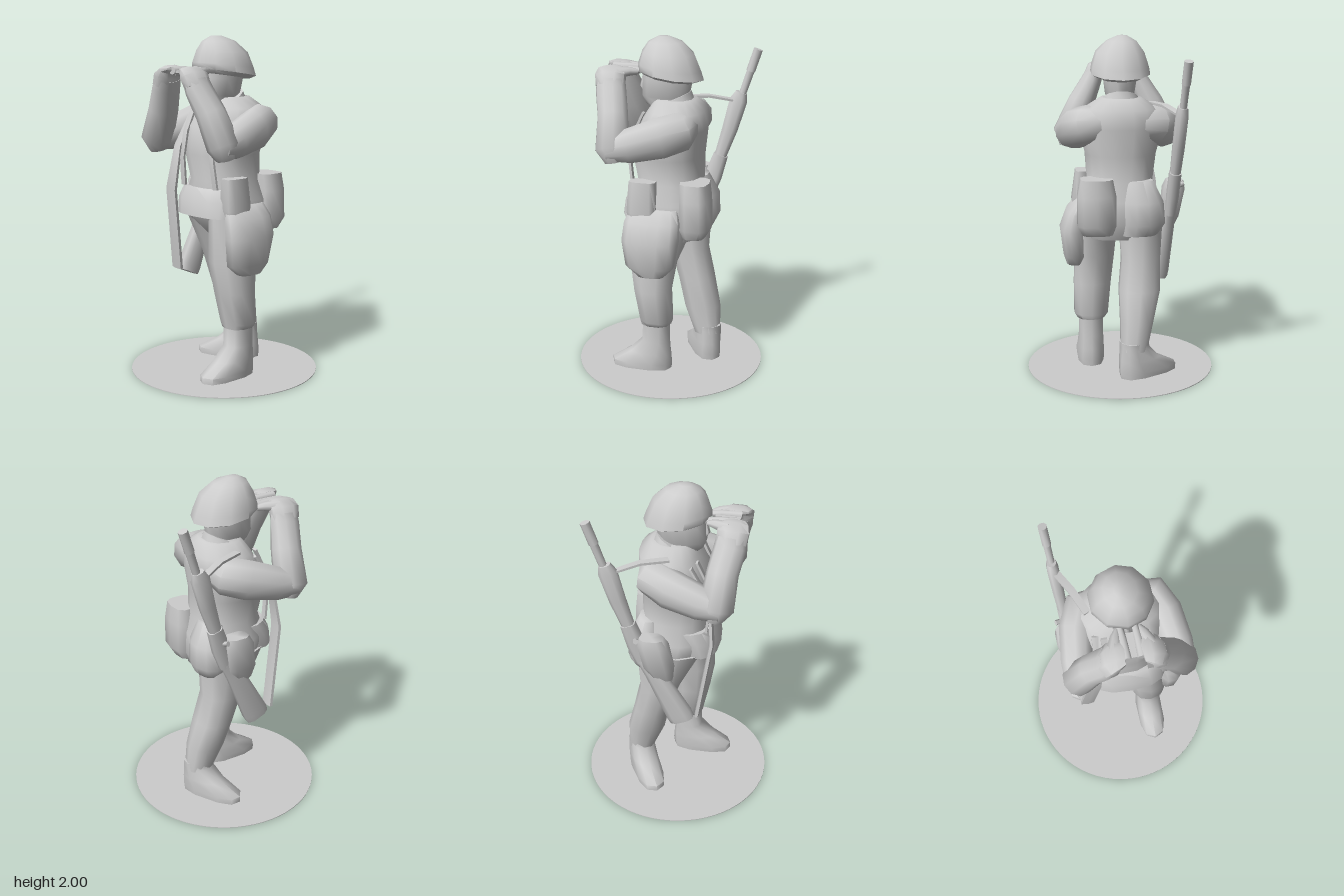
import * as THREE from 'three';
import { toCreasedNormals } from 'three/addons/utils/BufferGeometryUtils.js';

const grey = new THREE.MeshStandardMaterial({ color: 0xcccccc });
grey.name = 'plain grey';

// Skin a list of rings (arrays of Vector3) and close both ends
function skin(name, rings, crease = 1.1) {
  const n = rings[0].length, pos = [], idx = [];
  rings.forEach(r => r.forEach(p => pos.push(p.x, p.y, p.z)));
  for (let i = 0; i < rings.length - 1; i++) {
    for (let j = 0; j < n; j++) {
      const a = i * n + j, b = i * n + (j + 1) % n, c = a + n, d = b + n;
      idx.push(a, b, c, b, d, c);
    }
  }
  [0, rings.length - 1].forEach((ri, end) => {
    const mid = new THREE.Vector3();
    rings[ri].forEach(p => mid.addScaledVector(p, 1 / n));
    const m = pos.length / 3;
    pos.push(mid.x, mid.y, mid.z);
    for (let j = 0; j < n; j++) {
      const a = ri * n + j, b = ri * n + (j + 1) % n;
      idx.push(m, end ? a : b, end ? b : a);
    }
  });
  const g = new THREE.BufferGeometry();
  g.setAttribute('position', new THREE.Float32BufferAttribute(pos, 3));
  g.setIndex(idx);
  const mesh = new THREE.Mesh(toCreasedNormals(g, crease), grey);
  mesh.name = name;
  return mesh;
}

const soft = (v, e) => Math.sign(v) * Math.abs(v) ** e;

// Level sections, bottom to top: [y, xMin, xMax, zMin, zMax, tilt]; e < 1 is boxier
function stack(name, sections, sides = 12, e = 1) {
  return skin(name, sections.map(([y, x0, x1, z0, z1, tilt = 0]) =>
    Array.from({ length: sides }, (_, j) => {
      const t = (j + 0.5) / sides * Math.PI * 2;
      const dz = -soft(Math.sin(t), e) * (z1 - z0) / 2;
      return new THREE.Vector3((x0 + x1) / 2 + soft(Math.cos(t), e) * (x1 - x0) / 2,
        y + tilt * dz, (z0 + z1) / 2 + dz);
    })));
}

// Sections across a path: [x, y, z, half width, half depth]
function limb(name, pts, ref, sides = 10, e = 1) {
  const c = pts.map(p => new THREE.Vector3(p[0], p[1], p[2]));
  return skin(name, pts.map((p, i) => {
    const t = c[Math.min(i + 1, c.length - 1)].clone().sub(c[Math.max(i - 1, 0)]).normalize();
    const u = new THREE.Vector3().crossVectors(ref, t).normalize();
    const v = new THREE.Vector3().crossVectors(t, u);
    return Array.from({ length: sides }, (_, j) => {
      const a = (j + 0.5) / sides * Math.PI * 2;
      return c[i].clone().addScaledVector(u, soft(Math.cos(a), e) * p[3])
        .addScaledVector(v, soft(Math.sin(a), e) * p[4]);
    });
  }));
}

const X = new THREE.Vector3(1, 0, 0), Y = new THREE.Vector3(0, 1, 0), Z = new THREE.Vector3(0, 0, 1);

function createBoot(name, x, z, turn, shaft, toe) {
  const boot = stack(name, [
    [0, -0.08, 0.08, -0.09, toe], [0.04, -0.085, 0.085, -0.095, toe],
    [0.11, -0.08, 0.08, -0.09, 0.17], [0.19, -0.075, 0.075, -0.08, 0.09],
    [shaft, -0.075, 0.075, -0.08, 0.085]], 10, 0.75);
  boot.position.set(x, 0, z);
  boot.rotation.y = turn;
  return boot;
}

// Arm raised so that the hand is at the eyes
function createArm(s, side) {
  const arm = new THREE.Group();
  arm.name = side + 'Arm';
  const flip = pts => pts.map(p => [p[0] * s, ...p.slice(1)]);
  arm.add(limb(side + 'UpperArm', flip([
    [0.1, 1.51, -0.13, 0.07, 0.09], [0.19, 1.5, -0.1, 0.115, 0.115],
    [0.25, 1.47, 0, 0.1, 0.12], [0.285, 1.42, 0.18, 0.09, 0.1],
    [0.31, 1.395, 0.3, 0.06, 0.065]]), Y));
  arm.add(limb(side + 'Forearm', flip([
    [0.295, 1.33, 0.25, 0.05, 0.06], [0.295, 1.4, 0.265, 0.09, 0.1],
    [0.21, 1.58, 0.285, 0.082, 0.09], [0.145, 1.71, 0.315, 0.062, 0.09],
    [0.125, 1.76, 0.32, 0.055, 0.085]]), Z));
  arm.add(limb(side + 'Hand', flip([
    [0.14, 1.73, 0.32, 0.055, 0.088], [0.115, 1.785, 0.325, 0.055, 0.094],
    [0.085, 1.815, 0.325, 0.028, 0.085], [0.045, 1.82, 0.33, 0.012, 0.06]]), Z, 8));
  // Fingers curled back along the eyepiece
  arm.add(limb(side + 'Fingers', flip([
    [0.1, 1.8, 0.3, 0.045, 0.035], [0.075, 1.805, 0.22, 0.03, 0.025],
    [0.06, 1.8, 0.18, 0.015, 0.015]]), Y, 8));
  return arm;
}

function createRifle() {
  const rifle = new THREE.Group();
  rifle.name = 'rifle';
  const at = (y, w, d, dz = 0) => [-0.33 + (1.88 - y) * 0.055, y, -0.44 + (1.88 - y) * 0.32 + dz, w, d];
  rifle.add(limb('stock', [at(0.56, 0.04, 0.075, 0.09), at(0.6, 0.042, 0.08, 0.085),
    at(0.9, 0.035, 0.055, 0.035), at(1.02, 0.03, 0.04)], Z, 8, 0.7));
  rifle.add(limb('receiver', [at(0.98, 0.03, 0.045), at(1.1, 0.035, 0.055), at(1.24, 0.035, 0.045)], Z, 8, 0.7));
  rifle.add(limb('handguard', [at(1.2, 0.03, 0.035), at(1.4, 0.035, 0.048),
    at(1.58, 0.035, 0.055, 0.01), at(1.63, 0.028, 0.035, 0.01)], Z, 8, 0.8));
  rifle.add(limb('barrel', [at(1.58, 0.02, 0.022), at(1.76, 0.022, 0.024)], Z, 8));
  rifle.add(limb('muzzle', [at(1.76, 0.026, 0.028), at(1.89, 0.026, 0.028)], Z, 8));
  rifle.add(limb('boltHandle', [[-0.29, 1.14, -0.2, 0.012, 0.012], [-0.35, 1.16, -0.18, 0.016, 0.016]], Y, 6));
  // Carrying strap over the shoulder
  rifle.add(limb('slingBack', [[-0.31, 1.58, -0.32, 0.008, 0.03], [-0.24, 1.615, -0.17, 0.01, 0.03],
    [-0.18, 1.615, -0.02, 0.01, 0.03]], X, 4));
  rifle.add(limb('slingFront', [[-0.16, 1.56, 0.1, 0.025, 0.01], [-0.165, 1.36, 0.215, 0.03, 0.012],
    [-0.205, 1.1, 0.235, 0.045, 0.015], [-0.245, 0.6, 0.16, 0.045, 0.015]], Z, 6, 0.8));
  return rifle;
}

export function createModel() {
  const model = new THREE.Group();
  model.name = 'standingFigure';

  // Display base
  const base = new THREE.Mesh(new THREE.CylinderGeometry(0.563, 0.563, 0.004, 64), grey);
  base.name = 'base';
  base.position.y = 0.002;
  model.add(base);

  // Legs and boots: left foot forward, right foot turned outward
  model.add(createBoot('leftBoot', 0.175, 0.04, 0, 0.34, 0.28));
  model.add(createBoot('rightBoot', -0.06, -0.225, -1.05, 0.22, 0.3));
  model.add(stack('leftLeg', [
    [0.3, 0.09, 0.26, -0.05, 0.135], [0.33, 0.07, 0.28, -0.06, 0.14], [0.52, 0.05, 0.28, -0.05, 0.18],
    [0.7, 0.03, 0.27, -0.08, 0.21], [0.98, 0.01, 0.25, -0.2, 0.2]], 10, 0.85));
  model.add(stack('rightLeg', [
    [0.17, -0.14, 0.02, -0.3, -0.14], [0.34, -0.18, 0.02, -0.295, -0.07], [0.52, -0.225, 0.025, -0.25, -0.03],
    [0.7, -0.23, 0.005, -0.21, 0.03], [0.98, -0.25, 0.02, -0.23, 0.17]], 10, 0.85));

  // Jacket with a flared front hem and full seat
  model.add(stack('jacket', [
    [0.83, -0.18, 0.2, -0.19, 0.08], [0.93, -0.24, 0.245, -0.24, 0.17], [1.06, -0.235, 0.245, -0.235, 0.22],
    [1.17, -0.19, 0.2, -0.2, 0.19], [1.32, -0.21, 0.21, -0.2, 0.22], [1.48, -0.25, 0.25, -0.215, 0.19],
    [1.59, -0.22, 0.22, -0.215, 0.12], [1.65, -0.12, 0.12, -0.15, 0.08]], 16, 0.85));
  model.add(stack('jacketHem', [
    [0.97, -0.2, 0.24, 0, 0.26], [1.06, -0.21, 0.235, -0.05, 0.25], [1.13, -0.2, 0.21, -0.1, 0.215]], 14, 0.75));
  model.add(stack('seat', [
    [0.86, -0.2, 0.02, -0.24, -0.1], [0.93, -0.25, 0.03, -0.275, -0.05], [1.06, -0.24, 0.03, -0.27, -0.05],
    [1.18, -0.18, 0, -0.21, -0.08]], 12));
  model.add(stack('collar', [
    [1.56, -0.14, 0.14, -0.15, 0.13, -0.3], [1.64, -0.105, 0.105, -0.12, 0.12, -0.45]], 12));
  for (const s of [1, -1]) {
    model.add(limb(s > 0 ? 'leftHarness' : 'rightHarness', [
      [s * 0.12, 1.58, 0.13, 0.025, 0.01], [s * 0.12, 1.45, 0.19, 0.025, 0.01],
      [s * 0.13, 1.3, 0.21, 0.025, 0.01], [s * 0.14, 1.13, 0.19, 0.025, 0.01]], Z, 4));
  }

  // Belt pouches, side bag and holster
  model.add(stack('leftFrontPouch', [
    [0.98, 0.17, 0.28, 0.03, 0.19], [1.02, 0.16, 0.285, 0.02, 0.2], [1.2, 0.17, 0.26, 0.03, 0.19]], 8, 0.5));
  model.add(stack('leftRearPouch', [
    [0.87, 0.06, 0.24, -0.25, -0.12], [0.93, 0.04, 0.27, -0.285, -0.1], [1.1, 0.04, 0.27, -0.28, -0.1],
    [1.2, 0.06, 0.25, -0.27, -0.1]], 10, 0.65));
  model.add(stack('sideBag', [
    [0.64, 0.22, 0.32, -0.03, 0.13], [0.7, 0.2, 0.34, -0.09, 0.2], [0.86, 0.2, 0.36, -0.12, 0.22],
    [0.97, 0.2, 0.32, -0.12, 0.21], [1.04, 0.19, 0.26, -0.1, 0.18]], 12, 0.8));
  model.add(stack('holster', [
    [0.86, -0.3, -0.23, -0.11, 0.02], [0.95, -0.34, -0.23, -0.15, 0.03],
    [1.12, -0.37, -0.24, -0.18, 0], [1.17, -0.36, -0.26, -0.17, -0.03]], 8, 0.7));

  // Head and helmet
  const head = new THREE.Group();
  head.name = 'head';
  head.add(stack('face', [
    [1.55, -0.075, 0.075, -0.1, 0.07], [1.615, -0.06, 0.06, -0.1, 0.15], [1.66, -0.085, 0.085, -0.11, 0.17],
    [1.76, -0.1, 0.1, -0.13, 0.165], [1.85, -0.1, 0.1, -0.13, 0.15]], 12));
  head.add(limb('nose', [[0, 1.78, 0.155, 0.012, 0.012], [0, 1.71, 0.17, 0.018, 0.015],
    [0, 1.69, 0.16, 0.015, 0.01]], Z, 6));
  head.add(stack('helmet', [
    [1.77, -0.14, 0.14, -0.155, 0.165, 0.15], [1.79, -0.178, 0.178, -0.195, 0.195, 0.15],
    [1.83, -0.172, 0.172, -0.18, 0.192, 0.12], [1.91, -0.145, 0.145, -0.14, 0.17, 0.05],
    [1.97, -0.1, 0.08, -0.07, 0.135], [2.0, -0.045, 0.01, 0.01, 0.08]], 10));
  model.add(head);

  // Binoculars
  const binoculars = new THREE.Group();
  binoculars.name = 'binoculars';
  for (const s of [1, -1]) {
    binoculars.add(limb(s > 0 ? 'leftTube' : 'rightTube', [
      [s * 0.04, 1.805, 0.17, 0.018, 0.018], [s * 0.04, 1.81, 0.24, 0.022, 0.02],
      [s * 0.042, 1.81, 0.355, 0.028, 0.022]], Y, 10));
  }
  const bridge = new THREE.Mesh(new THREE.BoxGeometry(0.06, 0.015, 0.14), grey);
  bridge.name = 'bridge';
  bridge.position.set(0, 1.805, 0.28);
  binoculars.add(bridge);
  model.add(binoculars);

  model.add(createArm(1, 'left'), createArm(-1, 'right'), createRifle());
  return model;
}
